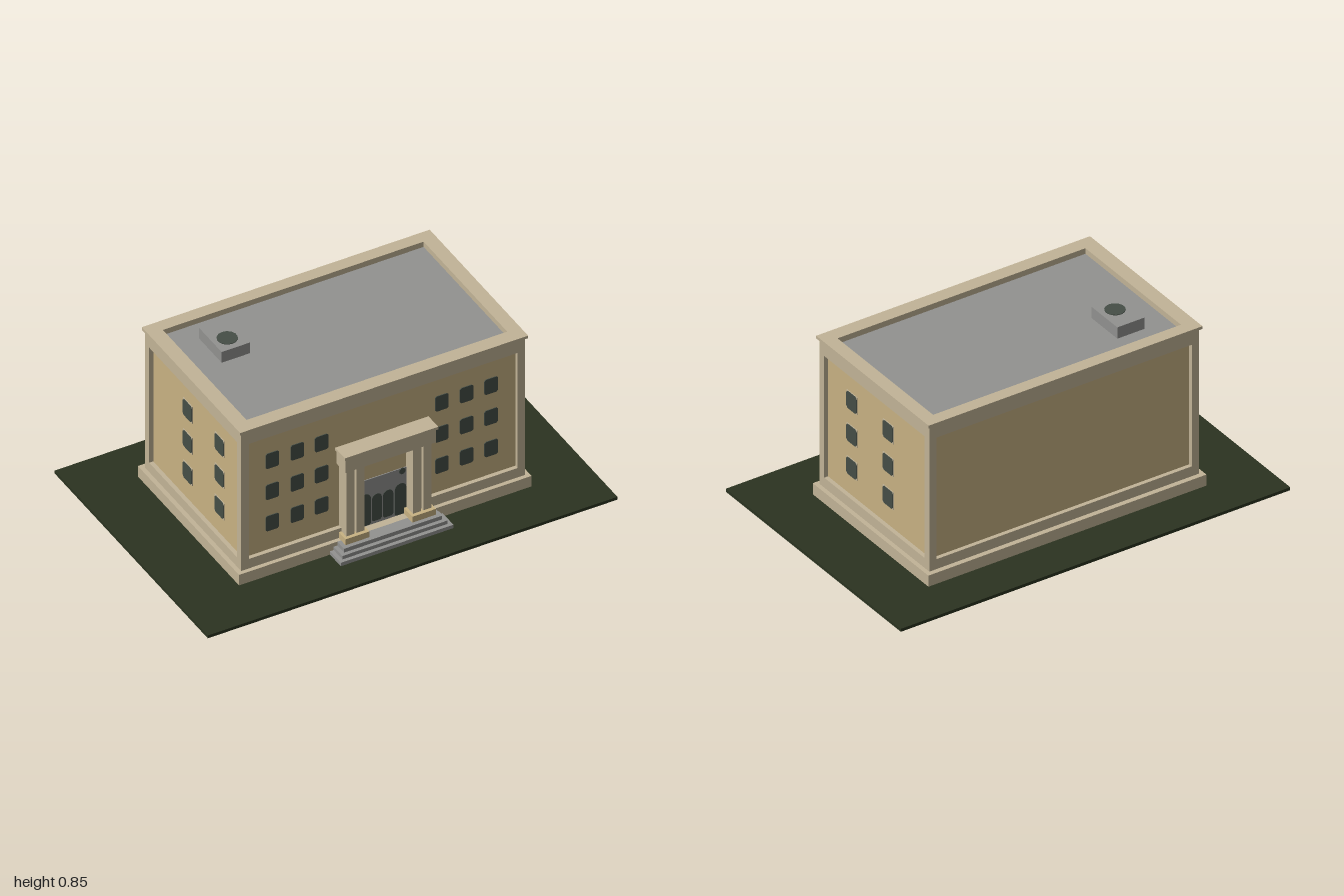
import * as THREE from 'three';

const mat = (name, color) => {
  const m = new THREE.MeshStandardMaterial({ color });
  m.name = name;
  return m;
};

export function createModel() {
  const wall = mat('sandstone wall', 0xc8b283);
  const trim = mat('pale stone trim', 0xc2b497);
  const grey = mat('grey concrete', 0x929290);
  const glass = mat('dark glass', 0x454e46);
  const grass = mat('dark grass', 0x2b3320);
  const model = new THREE.Group();
  model.name = 'building';

  // Box given by its extents on each axis
  const box = (name, m, x0, x1, y0, y1, z0, z1, parent = model) => {
    const mesh = new THREE.Mesh(new THREE.BoxGeometry(x1 - x0, y1 - y0, z1 - z0), m);
    mesh.position.set((x0 + x1) / 2, (y0 + y1) / 2, (z0 + z1) / 2);
    mesh.name = name;
    parent.add(mesh);
    return mesh;
  };
  // Rectangular ring lying flat, from outer to inner extents [x0, x1, z0, z1]
  const ring = (name, y0, y1, o, i) => {
    const g = new THREE.Group();
    g.name = name;
    box(name + 'Front', trim, o[0], o[1], y0, y1, i[3], o[3], g);
    box(name + 'Back', trim, o[0], o[1], y0, y1, o[2], i[2], g);
    box(name + 'Right', trim, o[0], i[0], y0, y1, i[2], i[3], g);
    box(name + 'Left', trim, i[1], o[1], y0, y1, i[2], i[3], g);
    model.add(g);
  };
  // Thin plate with cut or arched corners
  const plate = (w, h, c, arch) => {
    const s = new THREE.Shape();
    const a = w / 2, b = h / 2;
    s.moveTo(-a + c, -b);
    s.lineTo(a - c, -b);
    s.lineTo(a, -b + c);
    if (arch) {
      s.lineTo(a, b - a);
      s.absarc(0, b - a, a, 0, Math.PI, false);
    } else {
      s.lineTo(a, b - c);
      s.lineTo(a - c, b);
      s.lineTo(-a + c, b);
      s.lineTo(-a, b - c);
    }
    s.lineTo(-a, -b + c);
    return new THREE.ExtrudeGeometry(s, { depth: 0.004, bevelEnabled: false, curveSegments: 6 });
  };
  const place = (name, geo, m, x, y, z, ry = 0) => {
    const mesh = new THREE.Mesh(geo, m);
    mesh.position.set(x, y, z);
    mesh.rotation.y = ry;
    mesh.name = name;
    model.add(mesh);
  };

  // Ground, plinth and recessed wall core
  const X0 = -0.69, X1 = 0.696, Z0 = -0.433, Z1 = 0.404, D = 0.02;
  box('ground', grass, -1, 1, 0, 0.015, -0.667, 0.667);
  box('plinth', trim, -0.711, 0.717, 0.015, 0.071, -0.457, 0.424);
  box('wallCore', wall, X0 + D, X1 - D, 0.071, 0.78, Z0 + D, Z1 - D);

  // Corner posts
  for (const [x0, x1] of [[X0, -0.652], [0.66, X1]])
    for (const [z0, z1] of [[Z0, -0.396], [0.368, Z1]])
      box('cornerPost', trim, x0, x1, 0.071, 0.736, z0, z1);

  // Bottom rails, with a gap for the doorway
  box('bottomRailFront', trim, -0.652, -0.112, 0.071, 0.121, Z1 - D, Z1);
  box('bottomRailFront', trim, 0.128, 0.66, 0.071, 0.121, Z1 - D, Z1);
  box('bottomRailBack', trim, -0.652, 0.66, 0.071, 0.121, Z0, Z0 + D);
  box('bottomRailRight', trim, X0, X0 + D, 0.071, 0.121, -0.396, 0.368);
  box('bottomRailLeft', trim, X1 - D, X1, 0.071, 0.121, -0.396, 0.368);

  // Parapet, cornice and roof
  const inner = [-0.631, 0.642, -0.382, 0.346];
  ring('parapet', 0.736, 0.804, [X0, X1, Z0, Z1], inner);
  ring('cornice', 0.804, 0.818, [-0.7, 0.706, -0.443, 0.414], inner);
  box('roof', grey, -0.631, 0.642, 0.77, 0.79, -0.382, 0.346);

  // Rooftop unit with fan
  box('roofUnit', grey, -0.508, -0.369, 0.79, 0.847, -0.286, -0.09);
  const fan = new THREE.Mesh(new THREE.CylinderGeometry(0.046, 0.046, 0.004, 14), glass);
  fan.position.set(-0.439, 0.848, -0.164);
  fan.name = 'roofFan';
  model.add(fan);

  // Windows: three rows on the front and both sides
  const frontPane = plate(0.065, 0.08, 0.007);
  const sidePane = plate(0.078, 0.086, 0.01);
  const sideFrame = plate(0.082, 0.09, 0.001);
  for (const y of [0.261, 0.428, 0.594]) {
    for (const x of [-0.528, -0.406, -0.287, 0.3, 0.421, 0.541])
      place('frontWindow', frontPane, glass, x, y, Z1 - D);
    for (const z of [0.184, -0.093])
      for (const s of [-1, 1]) {
        const x = s > 0 ? X1 - D : X0 + D;
        place('sideWindowFrame', sideFrame, trim, x - s * 0.001, y, z, s * Math.PI / 2);
        place('sideWindow', sidePane, glass, x + s * 0.001, y, z, s * Math.PI / 2);
      }
  }

  // Doorway with dark arched panes
  box('door', grey, -0.11, 0.126, 0.071, 0.315, Z1 - D - 0.005, Z1 - D + 0.004);
  const panes = [[-0.077, 0.058, 0.075, 0.242], [-0.019, 0.048, 0.085, 0.226],
    [0.036, 0.05, 0.085, 0.226], [0.097, 0.056, 0.073, 0.238]];
  for (const [x, w, y0, y1] of panes)
    place('doorPane', plate(w, y1 - y0, 0.008, true), glass, x, (y0 + y1) / 2, Z1 - D + 0.002);
  place('doorLamp', plate(0.03, 0.03, 0.009), glass, 0.106, 0.301, Z1 - D + 0.002);

  // Steps
  [[0.275, 0.015, 0.033, 0.518], [0.257, 0.033, 0.051, 0.5], [0.239, 0.051, 0.071, 0.482]]
    .forEach(([h, y0, y1, z]) => box('step', grey, 0.008 - h, 0.008 + h, y0, y1, 0.42, z));

  // Portico: pedestals, paired pillars with a groove, entablature and cap
  for (const s of [-1, 1]) {
    const cx = 0.008 + s * 0.163;
    box('pedestal', wall, cx - 0.058, cx + 0.058, 0.071, 0.102, 0.384, 0.463);
    box('pillarGroove', trim, cx - 0.01, cx + 0.01, 0.102, 0.458, 0.384, 0.43);
    for (const k of [-1, 1]) {
      const px = cx + k * 0.025;
      box('pillar', trim, px - 0.02, px + 0.02, 0.102, 0.458, 0.384, 0.446);
    }
  }
  box('entablature', trim, -0.213, 0.229, 0.456, 0.528, 0.384, 0.462);
  box('entablatureCap', trim, -0.22, 0.236, 0.528, 0.542, 0.384, 0.47);

  return model;
}
